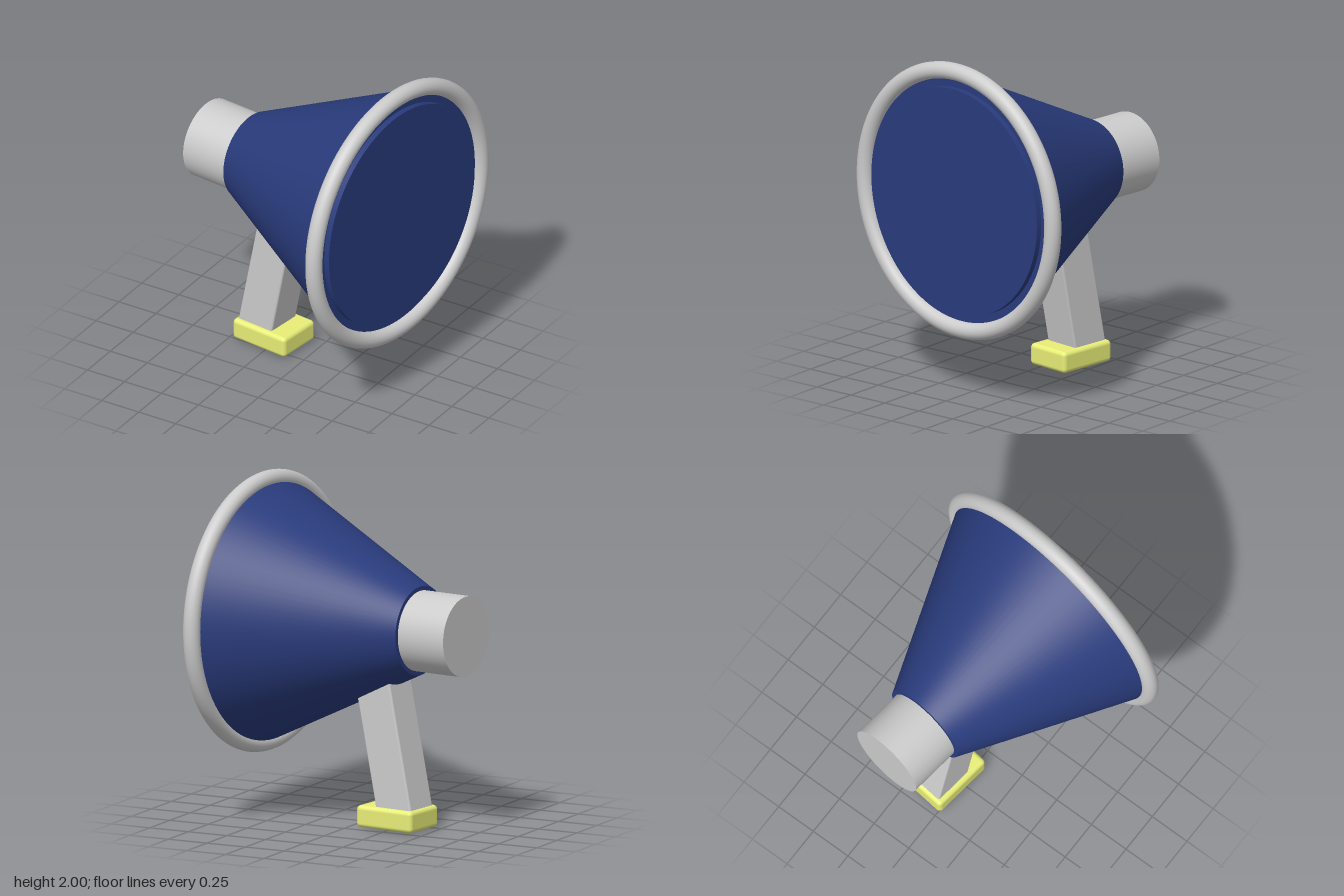
import * as THREE from 'three';
import { RoundedBoxGeometry } from 'three/addons/geometries/RoundedBoxGeometry.js';

const grey = new THREE.MeshStandardMaterial({ color: 0xcccccc });
const blue = new THREE.MeshStandardMaterial({ color: 0x293b7c });
const yellow = new THREE.MeshStandardMaterial({ color: 0xe8ee77 });

function add(parent, name, geometry, material, x = 0, y = 0, z = 0) {
  const mesh = new THREE.Mesh(geometry, material);
  mesh.name = name;
  mesh.position.set(x, y, z);
  parent.add(mesh);
  return mesh;
}

// Capped round section lying along x, from x0 (radius r0) to x1 (radius r1)
function section(x0, r0, x1, r1) {
  const g = new THREE.CylinderGeometry(r1, r0, x1 - x0, 96);
  g.rotateZ(-Math.PI / 2);
  g.translate((x0 + x1) / 2, 0, 0);
  return g;
}

export function createModel() {
  const model = new THREE.Group();
  model.name = 'megaphone';

  // Everything is turned slightly about the centre of the horn mouth
  const body = new THREE.Group();
  body.name = 'body';
  body.position.x = 0.63;
  body.rotation.y = -0.118;
  model.add(body);

  // Horn, mouth and rear housing share one axis
  const axisY = 1.18;
  add(body, 'horn', section(-1.07, 0.26, 0, 0.77), blue, 0, axisY);
  add(body, 'mouthDisc', section(-0.03, 0.675, 0.035, 0.675), blue, 0, axisY);
  add(body, 'rearHousing', section(-1.385, 0.235, -1.0, 0.235), grey, 0, axisY);

  const rim = new THREE.TorusGeometry(0.77, 0.05, 24, 128);
  rim.rotateY(Math.PI / 2);
  add(body, 'rim', rim, grey, 0, axisY);

  // Handle leans forward, its lower end pokes just through the foot
  const length = 0.95;
  const handleGeometry = new RoundedBoxGeometry(0.24, length, 0.228, 3, 0.012);
  handleGeometry.translate(0, length / 2, 0);
  const handle = add(body, 'handle', handleGeometry, grey, -0.975, 0.024, 0.003);
  handle.rotation.z = -0.2;

  add(body, 'foot', new RoundedBoxGeometry(0.385, 0.128, 0.288, 4, 0.025), yellow, -0.904, 0.075, 0.003);

  return model;
}
